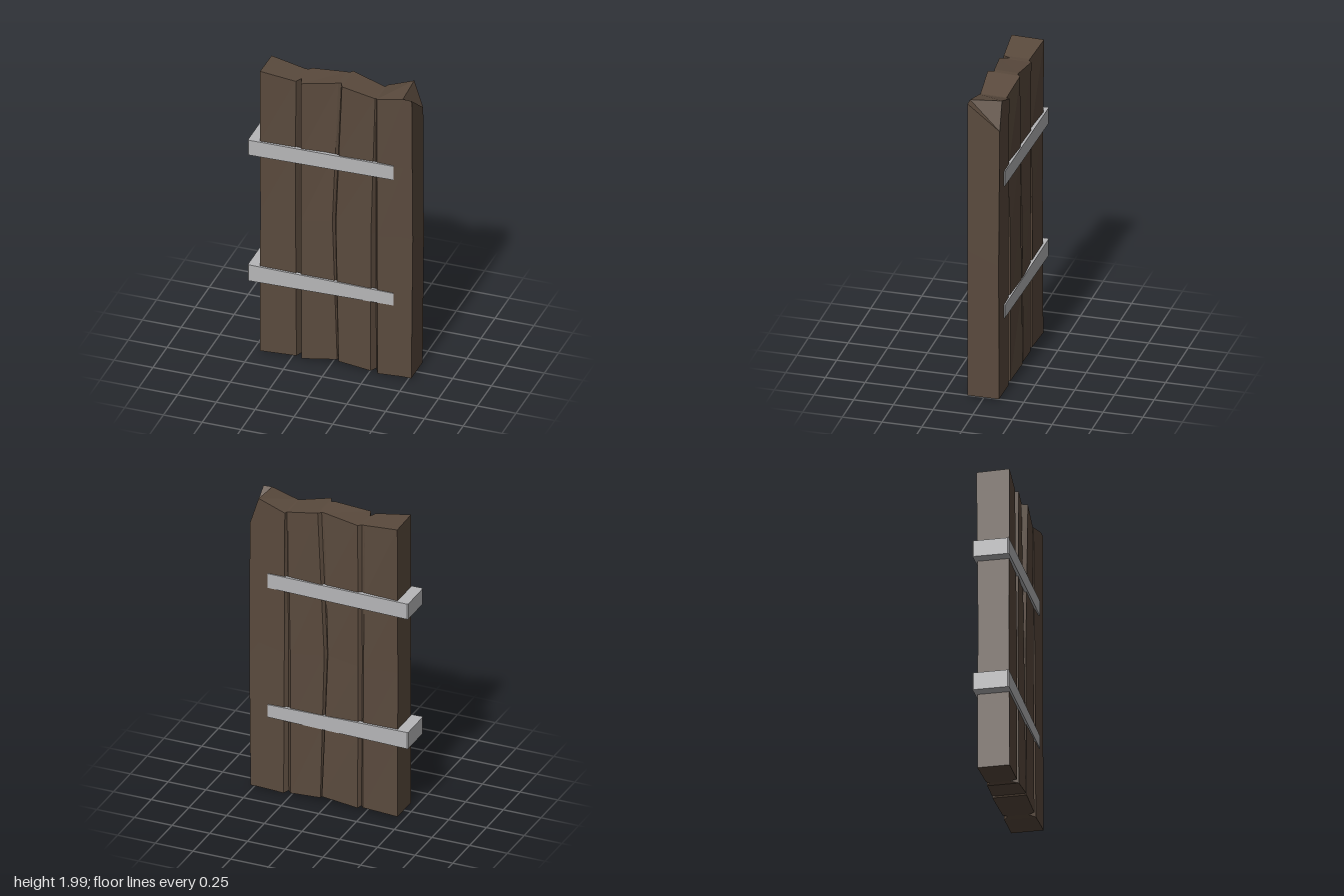
import * as THREE from 'three';

const wood = new THREE.MeshStandardMaterial({ name: 'dark wood', color: 0x5a4a3d, flatShading: true });
const metal = new THREE.MeshStandardMaterial({ name: 'grey metal', color: 0xb6b6b8, flatShading: true });

// Height fractions of the cross-sections; values are given at bottom, middle and top
const LEVELS = [0, 0.25, 0.5, 0.75, 1];
const mix = ([b, m, t], v) => (v < 0.5 ? b + (m - b) * v * 2 : m + (t - m) * (v - 0.5) * 2);

// Columns across the door: x, front z and back z by height, y of both ends [bottom, front top, back top]
const column = (x, front, back, y) => ({ x, front, back, y });

// A groove between two planks is three columns: left lip, valley, right lip
function groove(x, width, lipL, valley, lipR, back, y) {
  const shift = (s) => x.map((v, i) => v + s * width[i]);
  const raised = back.map((v) => Math.min(-0.096, v - 0.02));
  return [
    column(shift(-0.5), lipL, [raised[0], raised[1], back[2]], y),
    column(x, valley, back, y),
    column(shift(0.5), lipR, raised, [y[0] - 0.01, y[1], y[2]]),
  ];
}

const columns = [
  column([-0.455, -0.455, -0.455], [0.1, 0.096, 0.1], [-0.1, -0.096, -0.105], [0.012, 1.99, 1.985]),
  ...groove([-0.205, -0.21, -0.21], [0.035, 0.035, 0.04],
    [0.095, 0.096, 0.085], [0.05, 0.05, 0.042], [0.1, 0.096, 0.1], [-0.075, -0.075, -0.08], [0.022, 1.957, 1.955]),
  ...groove([0.045, 0.02, 0.055], [0.01, 0.025, 0.035],
    [0.095, 0.09, 0.068], [0.088, 0.07, 0.06], [0.097, 0.096, 0.1], [-0.095, -0.078, -0.085], [0.05, 1.99, 1.985]),
  ...groove([0.28, 0.278, 0.287], [0.045, 0.04, 0.012],
    [0.1, 0.096, 0.085], [0.06, 0.06, 0.08], [0.1, 0.096, 0.088], [-0.07, -0.075, -0.08], [0.018, 1.94, 1.935]),
  column([0.46, 0.465, 0.465], [0.1, 0.096, 0.098], [-0.1, -0.097, -0.103], [0.018, 1.982, 2]),
  column([0.52, 0.528, 0.522], [0.1, 0.096, 0.098], [-0.1, -0.1, -0.105], [0.018, 1.98, 1.82]),
];

// Planked slab lofted through its cross-sections, closed at both ends
function slabGeometry() {
  const n = columns.length;
  const ring = (v) => {
    const side = (key, top) => columns.map((c) => new THREE.Vector3(
      mix(c.x, v), c.y[0] + (c.y[top] - c.y[0]) * v, mix(c[key], v)));
    return [...side('front', 1), ...side('back', 2).reverse()];
  };
  const rings = LEVELS.map(ring);
  const pos = [];
  const quad = (a, b, c, d) => [a, b, c, a, c, d].forEach((p) => pos.push(p.x, p.y, p.z));
  for (let l = 0; l < rings.length - 1; l++) {
    for (let i = 0; i < 2 * n; i++) {
      const j = (i + 1) % (2 * n);
      quad(rings[l][i], rings[l][j], rings[l + 1][j], rings[l + 1][i]);
    }
  }
  const low = rings[0], high = rings[rings.length - 1], back = (i) => 2 * n - 1 - i;
  for (let i = 0; i < n - 1; i++) {
    quad(high[i], high[i + 1], high[back(i + 1)], high[back(i)]);
    quad(low[back(i)], low[back(i + 1)], low[i + 1], low[i]);
  }
  const g = new THREE.BufferGeometry();
  g.setAttribute('position', new THREE.Float32BufferAttribute(pos, 3));
  g.computeVertexNormals();
  return g;
}

// U-shaped strap around the left edge, slightly narrower at its free ends
function strapGeometry(y0, y1, endY0, endY1) {
  const outline = [[0.405, 0.103], [-0.525, 0.112], [-0.53, 0.105], [-0.53, -0.108], [-0.525, -0.114],
    [0.405, -0.105], [0.405, -0.085], [-0.455, -0.085], [-0.455, 0.085], [0.405, 0.085]];
  const shape = new THREE.Shape(outline.map(([x, z]) => new THREE.Vector2(x, -z)));
  const g = new THREE.ExtrudeGeometry(shape, { depth: 1, bevelEnabled: false });
  g.rotateX(-Math.PI / 2);
  const p = g.attributes.position;
  for (let i = 0; i < p.count; i++) {
    const t = (p.getX(i) + 0.53) / 0.935;
    const a = y0 + (endY0 - y0) * t, b = y1 + (endY1 - y1) * t;
    p.setY(i, a + (b - a) * p.getY(i));
  }
  g.computeVertexNormals();
  return g;
}

export function createModel() {
  const model = new THREE.Group();
  model.name = 'plankDoor';
  const add = (name, geometry, material) => {
    const mesh = new THREE.Mesh(geometry, material);
    mesh.name = name;
    model.add(mesh);
  };
  add('planks', slabGeometry(), wood);
  add('upperStrap', strapGeometry(1.39, 1.495, 1.4, 1.497), metal);
  add('lowerStrap', strapGeometry(0.5, 0.613, 0.512, 0.597), metal);
  return model;
}
